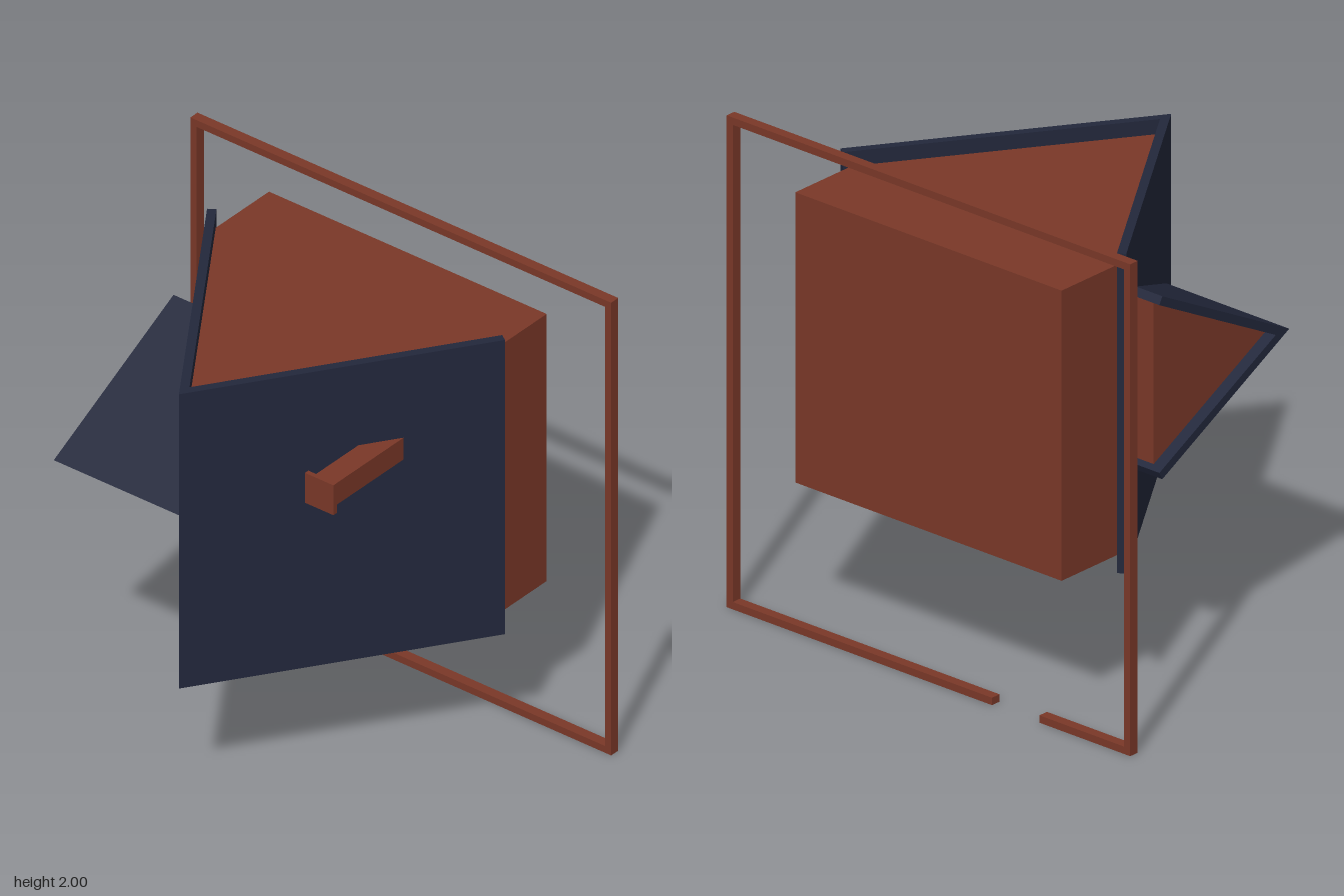
import * as THREE from 'three';

const brown = new THREE.MeshStandardMaterial({ color: 0x7a3828, flatShading: true });
const navy = new THREE.MeshStandardMaterial({ color: 0x22273b, flatShading: true });

const APEX = 0.675, SLOPE = 1.475; // main roof: z = APEX - SLOPE * |x|
const T = 0.035;                   // roof thickness

function add(group, name, geometry, material) {
  const mesh = new THREE.Mesh(geometry, material);
  mesh.name = name;
  group.add(mesh);
  return mesh;
}

// Box given by its minimum and maximum corners
function box(x0, x1, y0, y1, z0, z1) {
  return new THREE.BoxGeometry(x1 - x0, y1 - y0, z1 - z0)
    .translate((x0 + x1) / 2, (y0 + y1) / 2, (z0 + z1) / 2);
}

// Outline in (across, z), extruded along "depth"
function extrude(points, depth) {
  const shape = new THREE.Shape(points.map(([x, y]) => new THREE.Vector2(x, y)));
  return new THREE.ExtrudeGeometry(shape, { depth, bevelEnabled: false });
}

// Bent roof section: peak at (0, top), outer eaves at (+-half, eave), square-cut ends
function chevron(half, top, eave) {
  const rise = top - eave, len = Math.hypot(half, rise);
  const ix = half - T * rise / len, iz = eave - T * half / len;
  return [[0, top], [-half, eave], [-ix, iz], [0, top - T * len / half], [ix, iz], [half, eave]];
}

// Outline (x, z) extruded upwards from y0 to y1
function upright(points, y0, y1) {
  return extrude(points.map(([x, z]) => [x, -z]), y1 - y0).rotateX(-Math.PI / 2).translate(0, y0, 0);
}

// Outline (y offset, z) extruded from x0 to the right, its inner end cut along the main roof
function dormerPart(points, x0) {
  const g = extrude(points, 1);
  const p = g.attributes.position;
  for (let i = 0; i < p.count; i++) {
    const y = p.getX(i), z = p.getY(i), inner = p.getZ(i) > 0.5;
    p.setXYZ(i, inner ? -(APEX - 0.01 - z) / SLOPE : x0, 1.222 + y, z);
  }
  g.computeVertexNormals();
  return g;
}

export function createModel() {
  const model = new THREE.Group();
  model.name = 'houseWithFrame';

  // Square frame with a gap in its lower bar
  const frame = new THREE.Group();
  frame.name = 'frame';
  model.add(frame);
  const B = 0.03, back = -0.675, front = -0.633;
  add(frame, 'topBar', box(-1, 1, 2 - B, 2, back, front), brown);
  add(frame, 'rightBar', box(-1, -1 + B, 0, 2 - B, back, front), brown);
  add(frame, 'leftBar', box(1 - B, 1, 0, 2 - B, back, front), brown);
  add(frame, 'bottomBarShort', box(-1 + B, -0.55, 0, B, back, front), brown);
  add(frame, 'bottomBarLong', box(-0.315, 1 - B, 0, B, back, front), brown);

  // House body with its gable pointing to the front
  const wall = 0.66, peak = APEX - 0.062;
  const shoulder = peak - SLOPE * wall;
  add(model, 'houseBody', upright(
    [[-wall, back], [wall, back], [wall, shoulder], [0, peak], [-wall, shoulder]], 0.61, 1.79), brown);

  // Main roof
  add(model, 'mainRoof', upright(chevron(0.708, APEX, APEX - SLOPE * 0.708), 0.55, 1.85), navy);

  // Dormer: roof and recessed gable
  const dormer = new THREE.Group();
  dormer.name = 'dormer';
  model.add(dormer);
  add(dormer, 'dormerRoof', dormerPart(chevron(0.372, 0.563, -0.143), -0.685), navy);
  add(dormer, 'dormerGable', dormerPart([[0, 0.492], [-0.329, -0.135], [0.329, -0.135]], -0.635), brown);

  // Chimney
  const chimney = new THREE.Group();
  chimney.name = 'chimney';
  model.add(chimney);
  add(chimney, 'chimneyStack', box(0.39, 0.488, 1.397, 1.493, -0.1, 0.372), brown);
  add(chimney, 'chimneyCap', box(0.37, 0.505, 1.378, 1.51, 0.37, 0.39), brown);

  return model;
}
